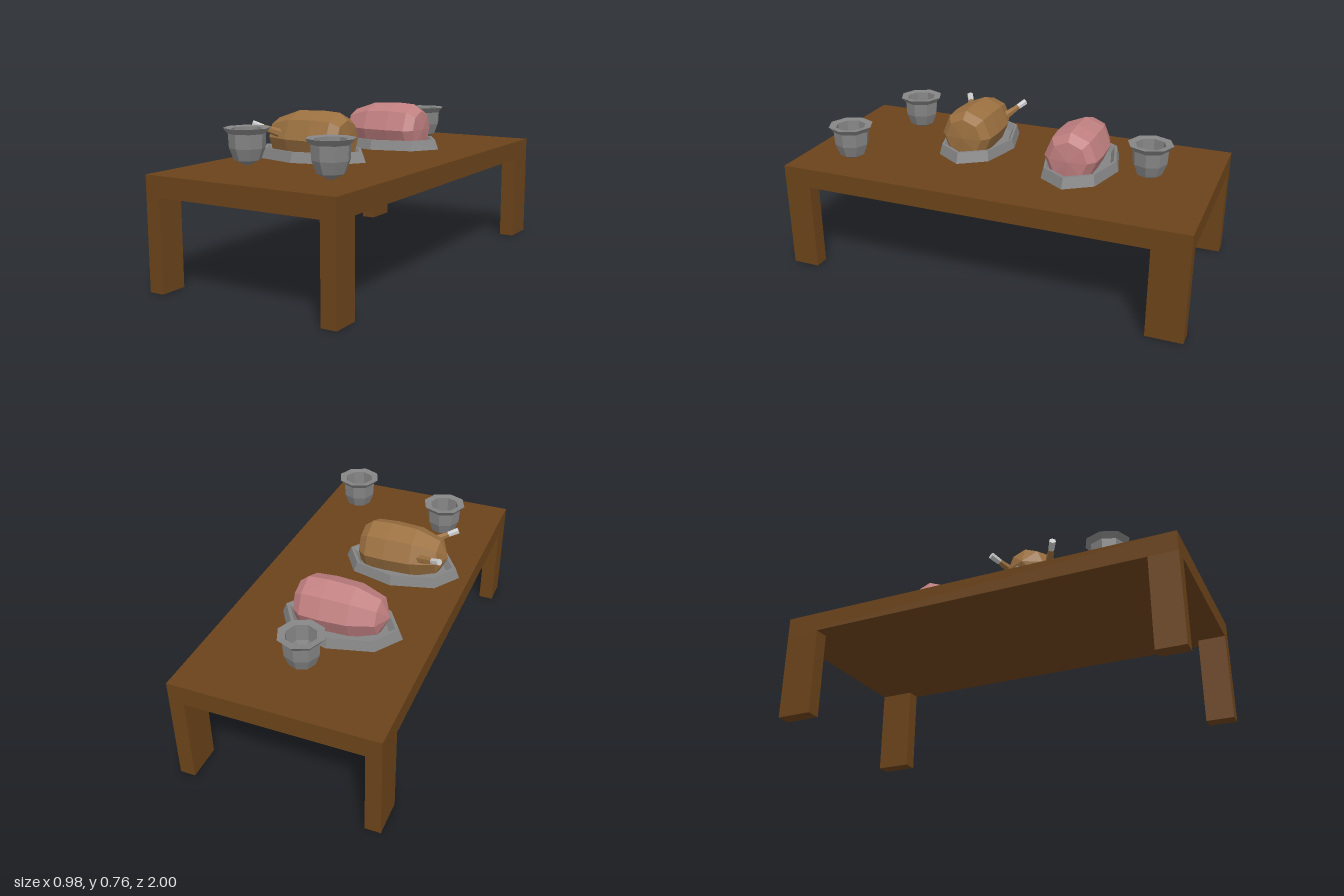
import * as THREE from 'three';

const mat = (color) => new THREE.MeshStandardMaterial({ color, flatShading: true });

function add(parent, name, geometry, material, x = 0, y = 0, z = 0) {
  const mesh = new THREE.Mesh(geometry, material);
  mesh.name = name;
  mesh.position.set(x, y, z);
  parent.add(mesh);
  return mesh;
}

// Eight-sided turned shape from [radius, height] pairs
const turned = (points) =>
  new THREE.LatheGeometry(points.map(([r, y]) => new THREE.Vector2(r, y)), 8);

export function createModel() {
  const model = new THREE.Group();
  model.name = 'laidTable';
  const wood = mat(0x6b431a);
  const metal = mat(0x858585);
  const roastBrown = mat(0x9b7040);
  const hamPink = mat(0xc07f80);
  const bone = mat(0xcccccc);

  // Table: slab and four legs, the front pair a little slimmer
  const table = new THREE.Group();
  table.name = 'table';
  model.add(table);
  add(table, 'tableTop', new THREE.BoxGeometry(0.98, 0.096, 2), wood, 0, 0.482, 0);
  for (const sx of [-1, 1]) {
    for (const [name, depth, sz] of [['frontLeg', 0.135, 1], ['backLeg', 0.175, -1]]) {
      add(table, name, new THREE.BoxGeometry(0.074, 0.434, depth), wood,
        sx * 0.453, 0.217, sz * (1 - depth / 2));
    }
  }

  // Serving dish: stretched octagon with a raised rim
  const dishGeo = turned([[0, 0], [0.3, 0], [0.28, 0.05], [0.262, 0.05], [0.235, 0.02], [0, 0.02]]);
  dishGeo.scale(1, 1, 0.625);

  // Meat: turned barrel laid along x, flattened underneath
  const meatGeo = turned([[0, -0.295], [0.088, -0.252], [0.129, -0.132], [0.135, 0],
    [0.129, 0.1], [0.095, 0.142], [0, 0.153]]);
  meatGeo.rotateZ(-Math.PI / 2);
  const p = meatGeo.attributes.position;
  for (let i = 0; i < p.count; i++) p.setY(i, Math.max(p.getY(i), -0.09));
  meatGeo.computeVertexNormals();

  function platter(name, meatMaterial, x, z) {
    const group = new THREE.Group();
    group.name = name;
    group.position.set(x, 0.53, z);
    model.add(group);
    add(group, 'dish', dishGeo, metal);
    add(group, 'meat', meatGeo, meatMaterial, 0.06, 0.1, 0.005);
    return group;
  }
  const roast = platter('roastPlatter', roastBrown, -0.14, 0.23);
  platter('hamPlatter', hamPink, -0.045, -0.345);

  // Drumsticks: tapered shank with a bone end, mirrored across z
  const up = new THREE.Vector3(0, 1, 0);
  function limb(name, from, to, r0, r1, material) {
    const dir = to.clone().sub(from);
    const mesh = add(roast, name, new THREE.CylinderGeometry(r1, r0, dir.length(), 6), material);
    mesh.position.copy(from).add(to).multiplyScalar(0.5);
    mesh.quaternion.setFromUnitVectors(up, dir.normalize());
  }
  for (const s of [-1, 1]) {
    const at = (x, y, z) => new THREE.Vector3(x, y, 0.005 + s * z);
    const ankle = at(-0.193, 0.152, 0.134);
    limb('shank', at(-0.09, 0.11, 0.075), ankle, 0.026, 0.014, roastBrown);
    limb('boneEnd', ankle, at(-0.237, 0.17, 0.159), 0.015, 0.017, bone);
  }

  // Goblets: open bowls with a flared lip
  const cupGeo = turned([[0, 0.005], [0.062, 0.035], [0.083, 0.09], [0.087, 0.156], [0.109, 0.182],
    [0.073, 0.178], [0.07, 0.1], [0.052, 0.055], [0, 0.035]]);
  for (const [x, z] of [[-0.235, 0.615], [0.293, 0.73], [-0.005, -0.69]]) {
    add(model, 'cup', cupGeo, metal, x, 0.53, z);
  }

  return model;
}
